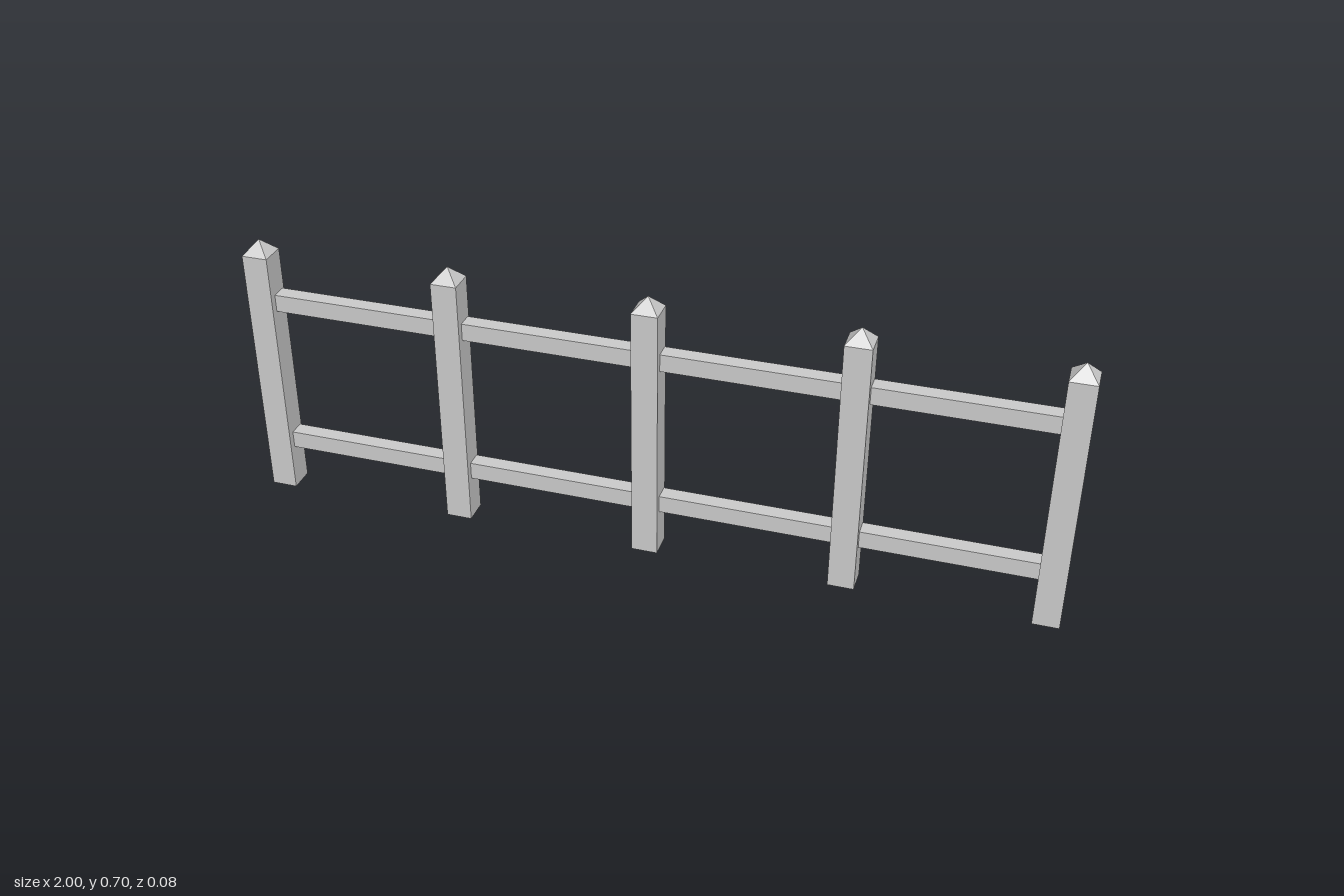
import * as THREE from 'three';

const material = new THREE.MeshStandardMaterial({ color: 0xcccccc, flatShading: true });
const POST_WIDTH = 0.064, POST_HEIGHT = 0.65, CAP_HEIGHT = 0.035;

function addMesh(parent, name, geometry, x, y, z) {
  const mesh = new THREE.Mesh(geometry, material);
  mesh.name = name;
  mesh.position.set(x, y, z);
  parent.add(mesh);
}

// Square post with a pyramid cap, standing on its local origin
function createPost(x, y, z) {
  const post = new THREE.Group();
  post.name = 'post';
  const shaft = new THREE.BoxGeometry(POST_WIDTH, POST_HEIGHT, POST_WIDTH);
  const cap = new THREE.ConeGeometry(POST_WIDTH / Math.SQRT2, CAP_HEIGHT, 4, 1, true).rotateY(Math.PI / 4);
  addMesh(post, 'postShaft', shaft, 0, POST_HEIGHT / 2, 0);
  addMesh(post, 'postCap', cap, 0, POST_HEIGHT + CAP_HEIGHT / 2, 0);
  post.position.set(x, y, z);
  return post;
}

export function createModel() {
  const fence = new THREE.Group();
  fence.name = 'fence';

  // Four evenly set posts, and an end post sitting a little lower and further back
  for (const x of [-0.968, -0.483, 0.003, 0.489]) fence.add(createPost(x, 0.012, 0.006));
  fence.add(createPost(0.968, 0, -0.005));

  // Two horizontal rails running through all the posts
  for (const [name, y] of [['lowerRail', 0.145], ['upperRail', 0.536]]) {
    addMesh(fence, name, new THREE.BoxGeometry(1.92, 0.044, 0.04), 0, y, 0);
  }
  return fence;
}
